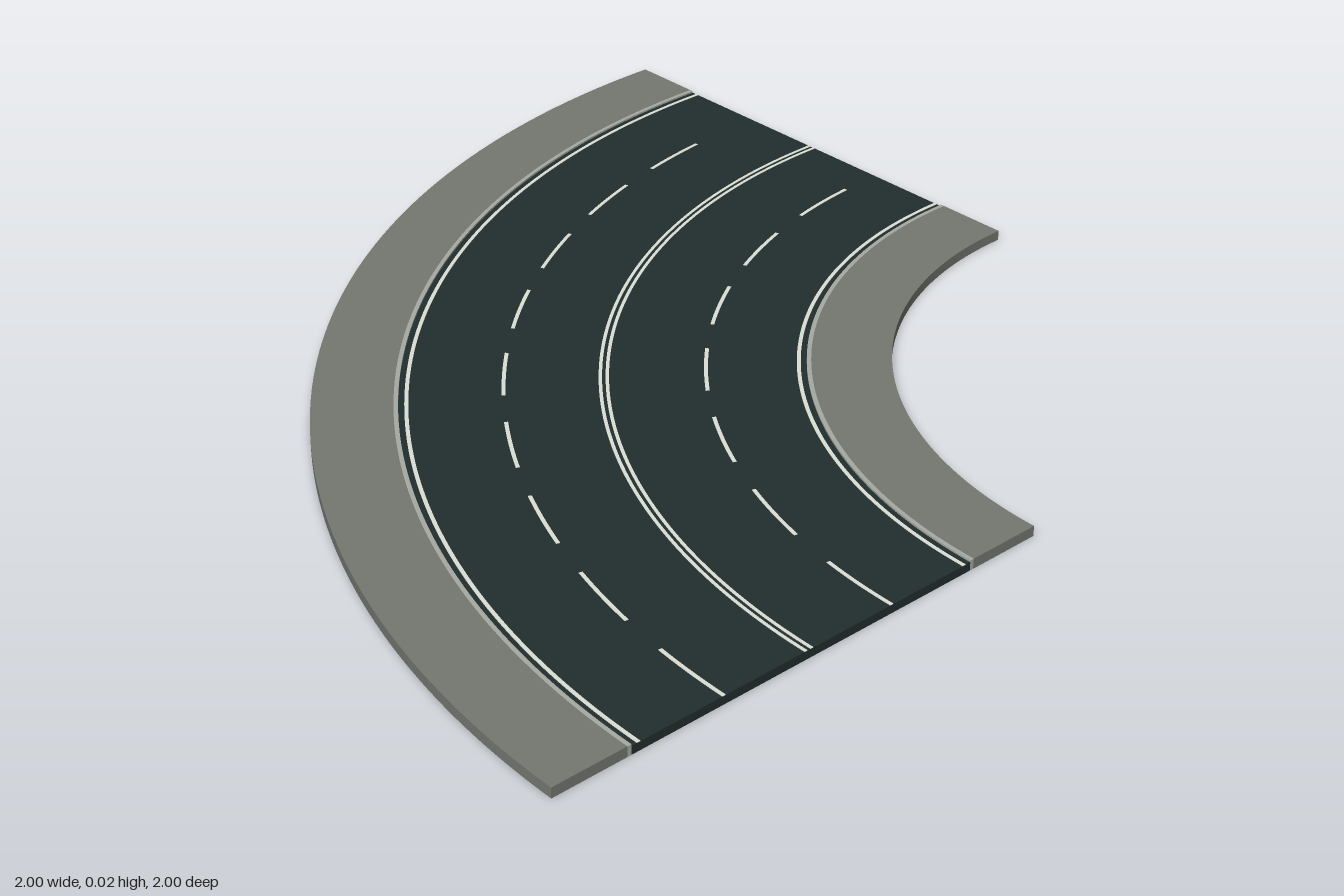
import * as THREE from 'three';

const START = Math.PI / 2, END = Math.PI; // quarter turn around (1, 1)
const ROAD_TOP = 0.018, WALK_TOP = 0.022, MID = 1.42;

// Flat ring sector centred on the corner of the bend
function sector(inner, outer, from, to) {
  const s = new THREE.Shape();
  s.absarc(1, -1, outer, from, to, false);
  s.absarc(1, -1, inner, to, from, true);
  s.closePath();
  return s;
}

export function createModel() {
  const group = new THREE.Group();
  const mat = (name, color) => {
    const m = new THREE.MeshStandardMaterial({ color });
    m.name = name;
    return m;
  };
  const asphalt = mat('asphalt', 0x222d2d);
  const concrete = mat('concrete', 0x757871);
  const curbStone = mat('curbStone', 0xa6aaa3);
  const paint = mat('paint', 0xdcdfd6);

  // Solid curved slab between two radii and two heights
  function slab(name, inner, outer, y, height, material, from = START, to = END, curveSegments = 64) {
    const geo = new THREE.ExtrudeGeometry(sector(inner, outer, from, to), {
      depth: height, bevelEnabled: false, curveSegments,
    });
    geo.rotateX(-Math.PI / 2);
    geo.translate(0, y, 0);
    const mesh = new THREE.Mesh(geo, material);
    mesh.name = name;
    group.add(mesh);
  }

  // Painted line, a thin plate on the road
  const line = (name, radius, width, from, to, segments) =>
    slab(name, radius - width / 2, radius + width / 2, ROAD_TOP, 0.001, paint, from, to, segments);

  // Road bed, curbs and sidewalks
  slab('road', 1.012, 1.828, 0, ROAD_TOP, asphalt);
  slab('outerCurb', 1.828, 1.837, 0, WALK_TOP, curbStone);
  slab('innerCurb', 1.003, 1.012, 0, WALK_TOP, curbStone);
  slab('outerSidewalk', 1.837, 2, 0, WALK_TOP, concrete);
  slab('innerSidewalk', 0.84, 1.003, 0, WALK_TOP, concrete);

  // Edge lines and double centre line
  for (const [side, label] of [[1, 'outer'], [-1, 'inner']]) {
    line(label + 'EdgeLine', MID + side * 0.392, 0.008);
    line(label + 'CentreLine', MID + side * 0.007, 0.007);
  }

  // Lane dashes, equally long on both lanes, starting at the front end
  const dash = 0.17, period = 0.273;
  for (const [radius, count, label] of [[1.62, 9, 'outer'], [1.215, 7, 'inner']]) {
    for (let i = 0; i < count; i++) {
      const to = END - (i * period) / radius;
      line(label + 'LaneDash', radius, 0.008, to - dash / radius, to, 6);
    }
  }
  return group;
}
